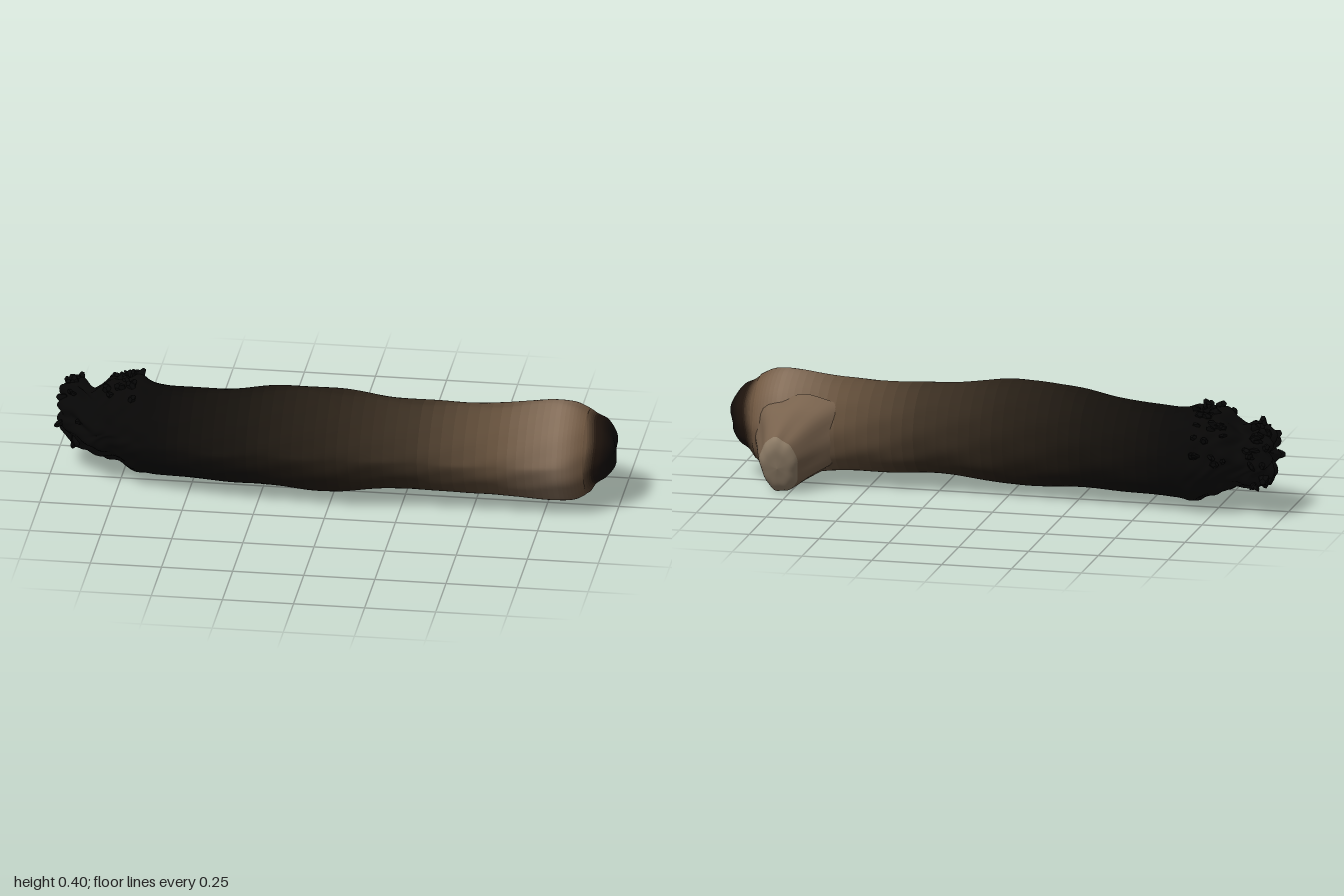
import * as THREE from 'three';

// Small seeded random generator
function seeded(seed) {
  return () => {
    seed = (seed * 16807) % 2147483647;
    return seed / 2147483647;
  };
}

// Joins closed rings of points into a smooth skin
function loft(rings) {
  const n = rings[0].length, pos = [], index = [];
  rings.forEach((ring) => ring.forEach((p) => pos.push(p.x, p.y, p.z)));
  for (let i = 0; i < rings.length - 1; i++) {
    for (let j = 0; j < n; j++) {
      const k = (j + 1) % n;
      const a = i * n + j, b = i * n + k, c = a + n, d = b + n;
      index.push(a, c, b, b, c, d);
    }
  }
  const geo = new THREE.BufferGeometry();
  geo.setAttribute('position', new THREE.Float32BufferAttribute(pos, 3));
  geo.setIndex(index);
  geo.computeVertexNormals();
  return geo;
}

const paint = (color) => new THREE.MeshStandardMaterial({ color });
const power = (v, e) => Math.sign(v) * Math.abs(v) ** e;

// Log stations: x, top y, bottom y, front z, back z (closed to a point at both ends)
const stations = [
  [-0.95, 0.23, 0.23, -0.08, -0.08],
  [-0.965, 0.3, 0.15, 0.0, -0.16],
  [-0.91, 0.33, 0.1, 0.05, -0.165],
  [-0.85, 0.315, 0.09, 0.105, -0.14],
  [-0.78, 0.355, 0.075, 0.135, -0.18],
  [-0.7, 0.37, 0.035, 0.157, -0.185],
  [-0.6, 0.35, 0.032, 0.175, -0.163],
  [-0.4, 0.36, 0.035, 0.21, -0.135],
  [-0.2, 0.39, 0.035, 0.23, -0.125],
  [0, 0.4, 0.028, 0.239, -0.112],
  [0.2, 0.378, 0.052, 0.222, -0.105],
  [0.4, 0.37, 0.05, 0.213, -0.11],
  [0.6, 0.375, 0.045, 0.21, -0.12],
  [0.75, 0.395, 0.035, 0.208, -0.13],
  [0.84, 0.393, 0.038, 0.2, -0.125],
  [0.895, 0.37, 0.065, 0.17, -0.105],
  [0.925, 0.35, 0.105, 0.148, -0.09],
  [0.96, 0.332, 0.13, 0.13, -0.075],
  [0.988, 0.29, 0.17, 0.09, -0.03],
  [0.995, 0.23, 0.23, 0.03, 0.03],
];
const heights = new THREE.CatmullRomCurve3(
  stations.map((s) => new THREE.Vector3(s[0], s[1], s[2])), false, 'catmullrom');
const depths = new THREE.CatmullRomCurve3(
  stations.map((s) => new THREE.Vector3(s[0], s[3], s[4])), false, 'catmullrom');

// Point on the bark at t along the log and angle a around it (0 = front)
function barkPoint(t, a) {
  const h = heights.getPoint(t), d = depths.getPoint(t), x = h.x;
  const c = Math.cos(a), s = Math.sin(a);
  // The front is pointed along the body and rounds off at the cut end
  const e = c > 0 ? 1.25 - 0.25 * THREE.MathUtils.smoothstep(x, 0.8, 0.94) : 0.98;
  const char = THREE.MathUtils.smoothstep(-x, 0.58, 0.8);
  const rough = 1
    + 0.01 * Math.sin(5 * a + 9 * x) * Math.sin(13 * x + 2 * a)
    + 0.006 * Math.sin(11 * a - 23 * x)
    + char * (0.035 * Math.sin(58 * x + 2 * a) + 0.03 * Math.sin(9 * a + 31 * x)
      + 0.025 * Math.sin(14 * a - 90 * x));
  const open = Math.min(1, (h.y - h.z) / 0.1);
  const ragged = char * 0.012 * Math.sin(7 * a + 1) + (x > 0.9 ? 0.005 * Math.sin(3 * a) : 0);
  return new THREE.Vector3(
    x + ragged * open,
    (h.y + h.z) / 2 + (h.y - h.z) / 2 * power(s, e) * rough,
    (d.y + d.z) / 2 + (d.y - d.z) / 2 * power(c, e) * rough);
}

// Colour stops along x, from charred to pale and the burnt core
const stops = [
  [-1, 0x060606], [-0.6, 0x080706], [-0.3, 0x15110c], [0, 0x261e15], [0.3, 0x3b2f22],
  [0.6, 0x624e3a], [0.8, 0x846e5a], [0.89, 0x6e5640], [0.93, 0x1e130c], [1, 0x0a0908],
];
function barkColor(x) {
  let i = 0;
  while (i < stops.length - 2 && x > stops[i + 1][0]) i++;
  const [x0, c0] = stops[i], [x1, c1] = stops[i + 1];
  const t = THREE.MathUtils.clamp((x - x0) / (x1 - x0), 0, 1);
  return new THREE.Color(c0).lerp(new THREE.Color(c1), t);
}

function makeLog() {
  const per = 10, sides = 80, rows = (stations.length - 1) * per;
  const rings = [];
  for (let i = 0; i <= rows; i++) {
    rings.push(Array.from({ length: sides }, (_, j) =>
      barkPoint(i / rows, j / sides * Math.PI * 2)));
  }
  const geo = loft(rings);
  // Narrow colour bands shade gradually along the length
  const materials = [], band = 2;
  for (let i = 0; i < rows; i += band) {
    geo.addGroup(i * sides * 6, band * sides * 6, materials.length);
    materials.push(paint(barkColor(heights.getPoint((i + band / 2) / rows).x)));
  }
  const log = new THREE.Mesh(geo, materials);
  log.name = 'log';
  return log;
}

// Broken branch stub, flaring into the back of the log and drooping below it
function makeStub() {
  const group = new THREE.Group();
  group.name = 'branchStub';
  const up = new THREE.Vector3(0, 0.92, -0.39);
  // centre x, y, z, half width, half height
  const side = [
    [0.715, 0.2, -0.035, 0.2, 0.15], [0.735, 0.173, -0.09, 0.155, 0.145],
    [0.757, 0.142, -0.13, 0.112, 0.135], [0.772, 0.119, -0.161, 0.085, 0.125],
    [0.78, 0.107, -0.184, 0.068, 0.117],
  ];
  const end = [
    side[4], [0.78, 0.103, -0.197, 0.06, 0.102], [0.781, 0.1, -0.207, 0.045, 0.075],
    [0.78, 0.1, -0.211, 0.022, 0.035], [0.78, 0.099, -0.214, 0, 0],
  ];
  const ring = ([x, y, z, w, h]) => Array.from({ length: 48 }, (_, j) => {
    const a = j / 48 * Math.PI * 2;
    const r = 1 + 0.03 * Math.sin(5 * a + 30 * z) + 0.02 * Math.sin(9 * a);
    return new THREE.Vector3(x + Math.cos(a) * w * r, y, z)
      .addScaledVector(up, Math.sin(a) * h * r);
  });
  const smooth = (list) => {
    const at = (k) => new THREE.SplineCurve(list.map((s, i) => new THREE.Vector2(i, s[k])));
    const curves = [0, 1, 2, 3, 4].map(at);
    return Array.from({ length: 17 }, (_, i) => ring(curves.map((c) => c.getPoint(i / 16).y)));
  };
  [['stubSide', side, 0x78624d], ['stubBreak', end, 0x92806a]].forEach(([name, list, color]) => {
    const mesh = new THREE.Mesh(loft(smooth(list)), paint(color));
    mesh.name = name;
    group.add(mesh);
  });
  return group;
}

// Broken charcoal flakes around the burnt end
function makeFlakes() {
  const group = new THREE.Group();
  group.name = 'charFlakes';
  const rand = seeded(77);
  const chip = new THREE.DodecahedronGeometry(1);
  const material = paint(0x060606);
  material.flatShading = true;
  const yAxis = new THREE.Vector3(0, 1, 0);
  for (let i = 0; i < 60; i++) {
    // Two ragged collars, thickest on the top and back
    const outer = i % 2 === 0;
    const t = (outer ? 1.1 + rand() * 1.2 : 3.8 + rand() * 1.3) / (stations.length - 1);
    const a = i % 4 === 0 ? rand() * Math.PI * 2 : 0.9 + rand() * 2.4;
    const dir = new THREE.Vector3(
      (outer ? -0.5 : -0.1) + (rand() - 0.5) * 1.8,
      Math.sin(a) + (rand() - 0.5),
      Math.cos(a) + (rand() - 0.5)).normalize();
    const flake = new THREE.Mesh(chip, material);
    flake.name = 'flake';
    flake.position.copy(barkPoint(t, a));
    flake.quaternion.setFromUnitVectors(yAxis, dir);
    flake.scale.set(0.008 + rand() * 0.014, 0.015 + rand() * 0.016, 0.006 + rand() * 0.008);
    group.add(flake);
  }
  return group;
}

export function createModel() {
  const model = new THREE.Group();
  model.name = 'burntLog';
  model.add(makeLog(), makeStub(), makeFlakes());
  return model;
}
